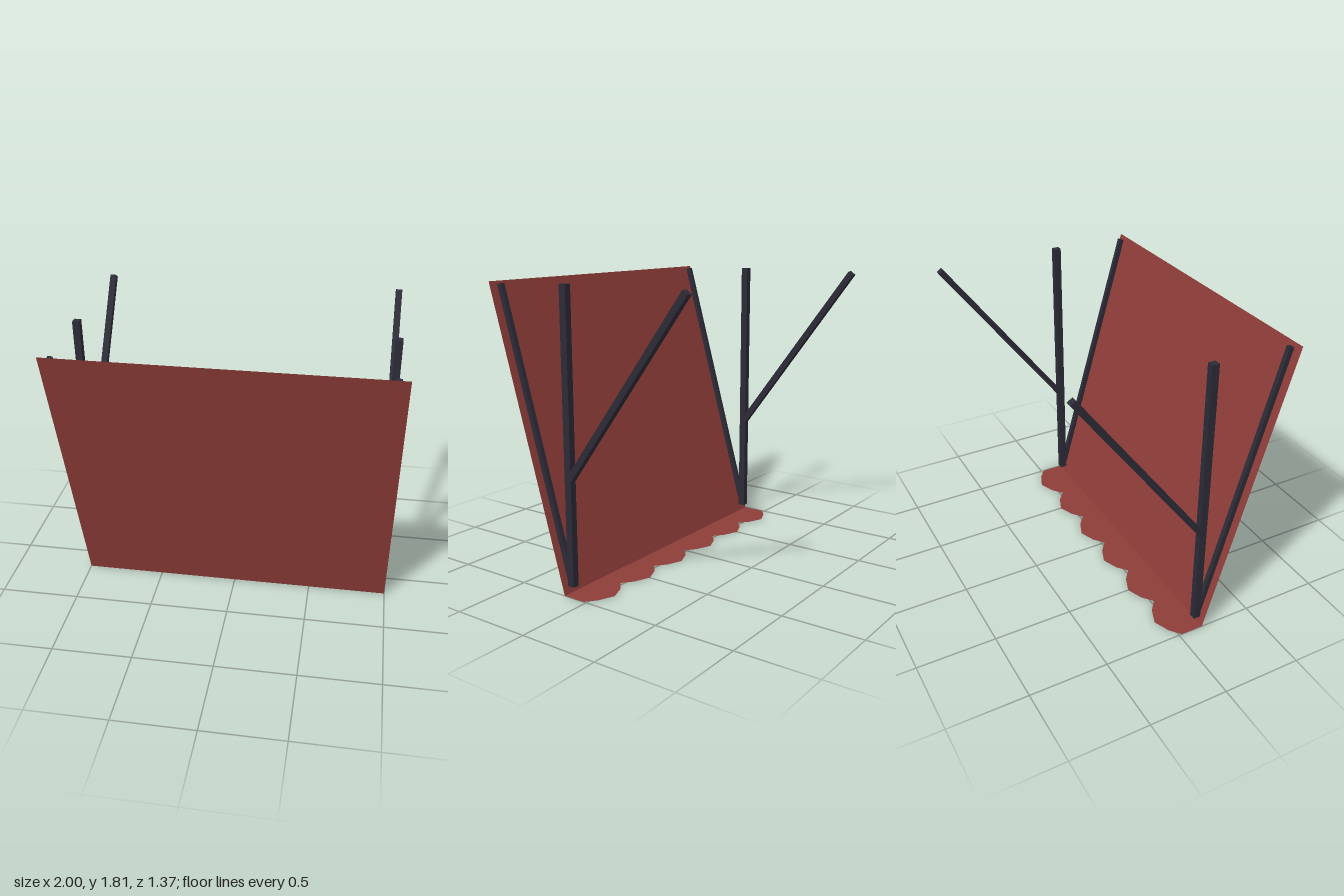
import * as THREE from 'three';

export function createModel() {
  const model = new THREE.Group();
  model.name = 'awning';

  const cloth = new THREE.MeshStandardMaterial({ color: 0x8e3d39, side: THREE.DoubleSide });
  cloth.name = 'red cloth';
  const metal = new THREE.MeshStandardMaterial({ color: 0x2c2b37 });
  metal.name = 'dark metal';

  const hingeZ = 0.165, topZ = 0.684, topY = 1.8;

  // Thin sloping cloth sheet, leaning forward from the hinge line
  const sheet = new THREE.Mesh(new THREE.PlaneGeometry(2, Math.hypot(topY, topZ - hingeZ)), cloth);
  sheet.name = 'canopySheet';
  sheet.position.set(0, topY / 2, (hingeZ + topZ) / 2);
  sheet.rotation.x = Math.atan2(topZ - hingeZ, topY);
  model.add(sheet);

  // Flat valance with six scallops along its back edge
  const scallops = 6, step = 2 / scallops;
  const profile = [[0, -0.02], [0.2, 0.035], [0.5, 0.075], [0.8, 0.035]];
  const outline = new THREE.Shape();
  outline.moveTo(1, -hingeZ);
  outline.lineTo(-1, -hingeZ);
  for (let i = 0; i < scallops; i++) {
    for (const [t, d] of profile) outline.lineTo(-1 + (i + t) * step, d);
  }
  outline.lineTo(1, -0.02);
  const valance = new THREE.Mesh(new THREE.ShapeGeometry(outline), cloth);
  valance.name = 'scallopedValance';
  valance.rotation.x = -Math.PI / 2;
  model.add(valance);

  // Square bar between two [y, z] points at a given x
  function bar(name, x, [y0, z0], [y1, z1], width, depth) {
    const length = Math.hypot(y1 - y0, z1 - z0);
    const mesh = new THREE.Mesh(new THREE.BoxGeometry(width, length, depth), metal);
    mesh.name = name;
    mesh.position.set(x, (y0 + y1) / 2, (z0 + z1) / 2);
    mesh.rotation.x = Math.atan2(z1 - z0, y1 - y0);
    model.add(mesh);
  }

  // Matching supports on both sides
  for (const [side, x] of [['left', 0.94], ['right', -0.94]]) {
    bar(side + 'Post', x, [0.045, 0.152], [1.805, 0.152], 0.042, 0.046);
    bar(side + 'CanopyArm', x, [0.047, 0.155], [1.785, 0.649], 0.03, 0.03);
    bar(side + 'BackBrace', x, [0.69, 0.15], [1.798, -0.668], 0.04, 0.039);
  }

  return model;
}
